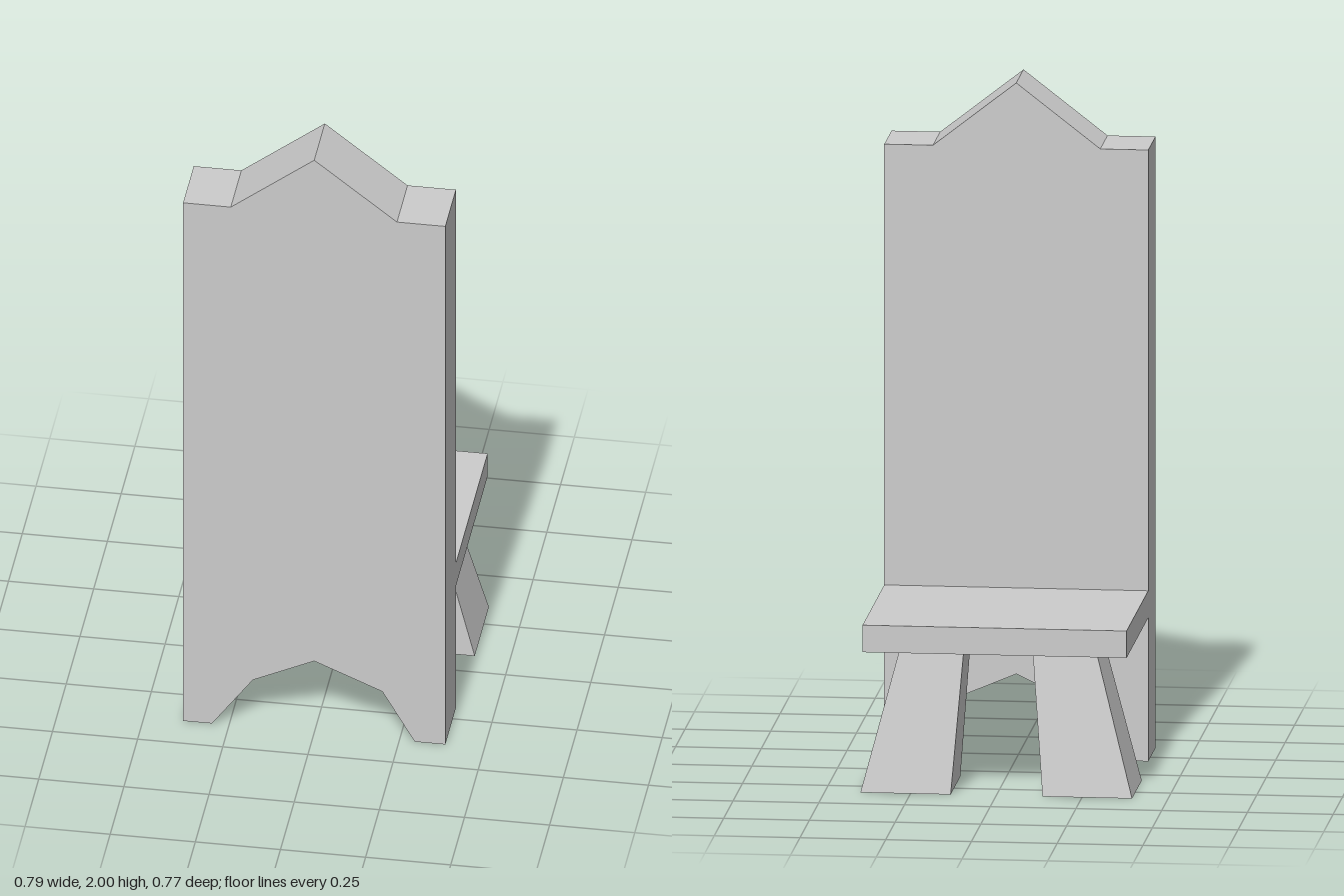
import * as THREE from 'three';

const material = new THREE.MeshStandardMaterial({ color: 0xcccccc, flatShading: true });

function addPart(group, name, geometry, x = 0, y = 0, z = 0) {
  const mesh = new THREE.Mesh(geometry, material);
  mesh.name = name;
  mesh.position.set(x, y, z);
  group.add(mesh);
}

// Box whose top face is moved to its own x and z ranges
function taperedLeg(bottom, top, height) {
  const geometry = new THREE.BoxGeometry(1, 1, 1);
  const p = geometry.attributes.position;
  for (let i = 0; i < p.count; i++) {
    const up = p.getY(i) > 0;
    const [x0, x1, z0, z1] = up ? top : bottom;
    p.setXYZ(i, p.getX(i) > 0 ? x1 : x0, up ? height : 0, p.getZ(i) > 0 ? z1 : z0);
  }
  geometry.computeVertexNormals();
  return geometry;
}

export function createModel() {
  const group = new THREE.Group();
  group.name = 'chair';

  // Tall back panel with a peaked top and an arched cut-out between its feet
  const outline = [
    [-0.385, 0], [-0.3, 0], [-0.18, 0.165], [0, 0.25], [0.2, 0.165], [0.295, 0], [0.385, 0],
    [0.385, 1.81], [0.243, 1.81], [0, 2], [-0.245, 1.81], [-0.385, 1.81],
  ].map(([x, y]) => new THREE.Vector2(x, y));
  const panel = new THREE.ExtrudeGeometry(new THREE.Shape(outline), { depth: 0.193, bevelEnabled: false });
  addPart(group, 'backPanel', panel, 0, 0, 0.192);

  // Seat slab
  addPart(group, 'seat', new THREE.BoxGeometry(0.77, 0.08, 0.577), 0, 0.465, -0.0965);

  // Two tapered legs, splayed outwards
  addPart(group, 'leftLeg', taperedLeg([0.133, 0.396, -0.34, -0.082], [0.1, 0.285, -0.285, -0.095], 0.425));
  addPart(group, 'rightLeg', taperedLeg([-0.396, -0.135, -0.34, -0.082], [-0.285, -0.1, -0.285, -0.095], 0.425));

  return group;
}
